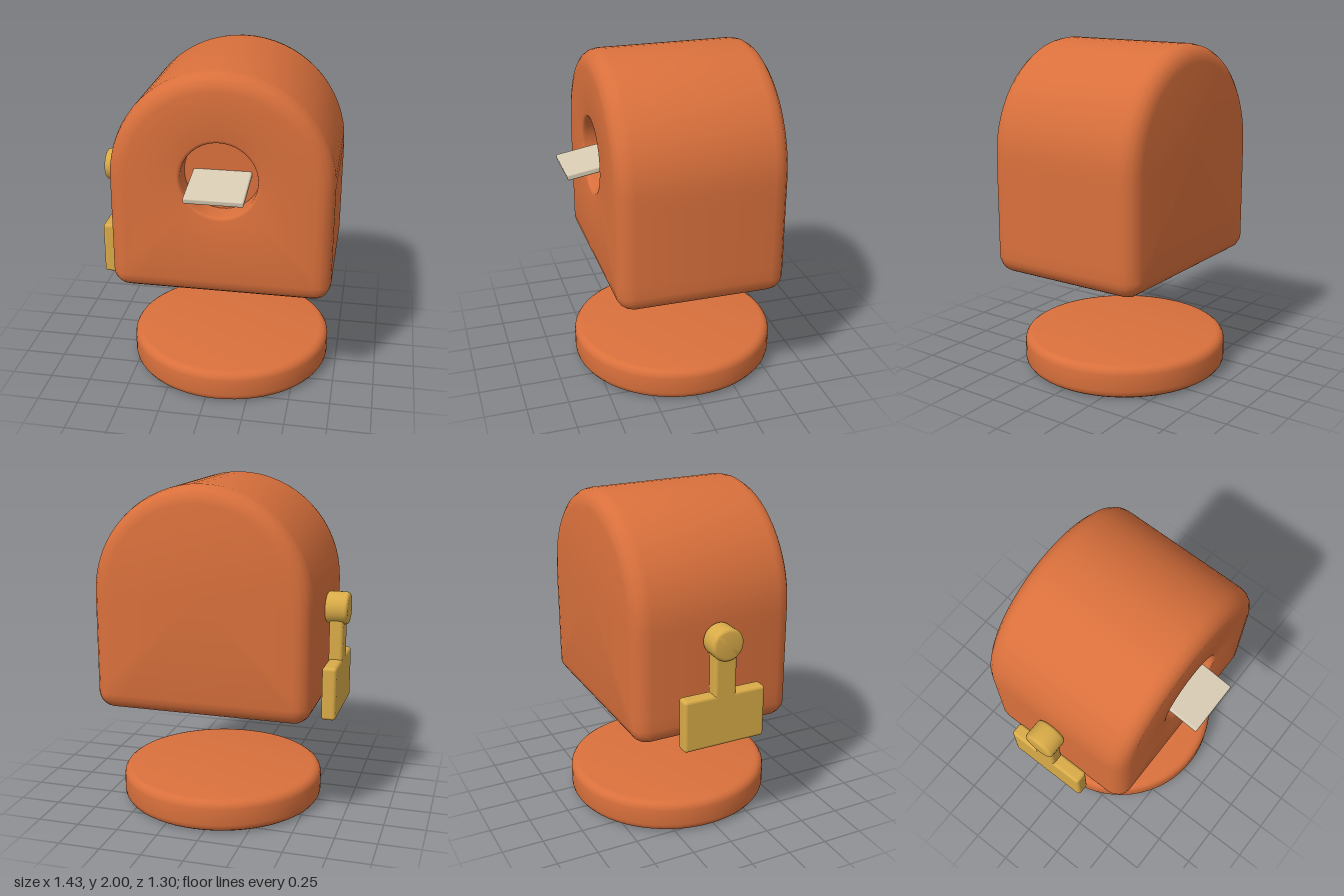
import * as THREE from 'three';
import { toCreasedNormals } from 'three/addons/utils/BufferGeometryUtils.js';
import { RoundedBoxGeometry } from 'three/addons/geometries/RoundedBoxGeometry.js';

const CX = 0.065, CZ = -0.025; // axis shared by body and base
const BACK = -0.525, FRONT = 0.475, BOTTOM = 0.655, ARCH_Y = 1.35, ARCH_R = 0.65;
const BEVEL = 0.1, HOLE_Y = 1.385, HOLE_R = 0.243;

// Arched outline, counter-clockwise, shrunk by an inset
function outline(inset) {
  const r = ARCH_R - inset, c = BEVEL - inset, low = BOTTOM + BEVEL, side = ARCH_R - BEVEL;
  const pts = [];
  const arc = (x, y, rad, a0, a1, n) => {
    for (let i = 0; i <= n; i++) {
      const a = (a0 + (a1 - a0) * i / n) * Math.PI;
      pts.push(new THREE.Vector2(x + rad * Math.cos(a), y + rad * Math.sin(a)));
    }
  };
  const line = (x0, y0, x1, y1, n) => {
    for (let i = 1; i < n; i++) {
      pts.push(new THREE.Vector2(x0 + (x1 - x0) * i / n, y0 + (y1 - y0) * i / n));
    }
  };
  arc(CX, ARCH_Y, r, 0, 1, 32);
  line(CX - r, ARCH_Y, CX - r, low, 8);
  arc(CX - side, low, c, 1, 1.5, 5);
  line(CX - side, BOTTOM + inset, CX + side, BOTTOM + inset, 14);
  arc(CX + side, low, c, 1.5, 2, 5);
  line(CX + r, low, CX + r, ARCH_Y, 8);
  return pts;
}

// One skin from the back centre, over the bevels, to the floor of the recess
function bodyGeometry() {
  const face = outline(BEVEL);
  const angles = face.map(p => Math.atan2(p.y - HOLE_Y, p.x - CX));
  const circle = r => angles.map(a => new THREE.Vector2(CX + r * Math.cos(a), HOLE_Y + r * Math.sin(a)));
  const rings = [[circle(0), BACK]];
  const steps = 4;
  for (let i = 0; i <= steps; i++) {
    const a = i / steps * Math.PI / 2;
    rings.push([outline(BEVEL * (1 - Math.sin(a))), BACK + BEVEL * (1 - Math.cos(a))]);
  }
  for (let i = 0; i <= steps; i++) {
    const a = i / steps * Math.PI / 2;
    rings.push([outline(BEVEL * (1 - Math.cos(a))), FRONT - BEVEL * (1 - Math.sin(a))]);
  }
  for (let i = 0; i <= 3; i++) { // rounded rim of the recess
    const a = i / 3 * Math.PI / 2;
    rings.push([circle(HOLE_R - 0.02 * Math.sin(a)), FRONT - 0.02 * (1 - Math.cos(a))]);
  }
  rings.push([circle(HOLE_R - 0.02), 0.33], [circle(0), 0.33]);

  const n = face.length, pos = [], idx = [];
  rings.forEach(([pts, z], i) => pts.forEach((p, j) => {
    pos.push(p.x, p.y, z);
    if (i === rings.length - 1) return;
    const a = i * n + j, b = i * n + (j + 1) % n;
    if (i > 0) idx.push(a, b, b + n);
    if (i < rings.length - 2) idx.push(a, b + n, a + n);
  }));
  const g = new THREE.BufferGeometry();
  g.setAttribute('position', new THREE.Float32BufferAttribute(pos, 3));
  g.setIndex(idx);
  return toCreasedNormals(g, 0.75);
}

// Disc with rounded edges, centred on the origin along y
function roundedDisc(radius, height, bevel, segments) {
  const h = height / 2, pts = [new THREE.Vector2(0, -h)];
  for (const s of [-1, 1]) {
    for (let i = 0; i <= 4; i++) {
      const a = (s < 0 ? i / 4 - 1 : i / 4) * Math.PI / 2;
      pts.push(new THREE.Vector2(radius - bevel + bevel * Math.cos(a), s * (h - bevel) + bevel * Math.sin(a)));
    }
  }
  pts.push(new THREE.Vector2(0, h));
  return toCreasedNormals(new THREE.LatheGeometry(pts, segments), 0.75);
}

export function createModel() {
  const material = (name, color) => {
    const m = new THREE.MeshStandardMaterial({ color });
    m.name = name;
    return m;
  };
  const orange = material('orange', 0xd9703c);
  const brass = material('brass yellow', 0xd9ab48);
  const cream = material('cream', 0xd9ccb4);

  const model = new THREE.Group();
  model.name = 'archedMachine';
  const add = (name, geometry, mat, x, y, z, parent = model) => {
    const mesh = new THREE.Mesh(geometry, mat);
    mesh.name = name;
    mesh.position.set(x, y, z);
    parent.add(mesh);
    return mesh;
  };

  add('body', bodyGeometry(), orange, 0, 0, 0);
  add('base', roundedDisc(0.625, 0.2, 0.05, 64), orange, CX, 0.1, CZ);

  // Plate sloping out of the recess
  const tongue = add('tongue', new RoundedBoxGeometry(0.34, 0.036, 0.36, 2, 0.01), cream, CX, 1.358, 0.468);
  tongue.rotation.x = 0.17;

  // Side lever: pivot knob, arm and wide paddle
  const lever = new THREE.Group();
  lever.name = 'lever';
  model.add(lever);
  const knob = add('leverKnob', roundedDisc(0.097, 0.135, 0.02, 32), brass, -0.6525, 1.255, CZ, lever);
  knob.rotation.z = Math.PI / 2;
  add('leverArm', new RoundedBoxGeometry(0.085, 0.37, 0.14, 3, 0.02), brass, -0.6525, 1.075, CZ, lever);
  add('leverPaddle', new RoundedBoxGeometry(0.085, 0.32, 0.515, 3, 0.02), brass, -0.6525, 0.793, CZ, lever);

  return model;
}
